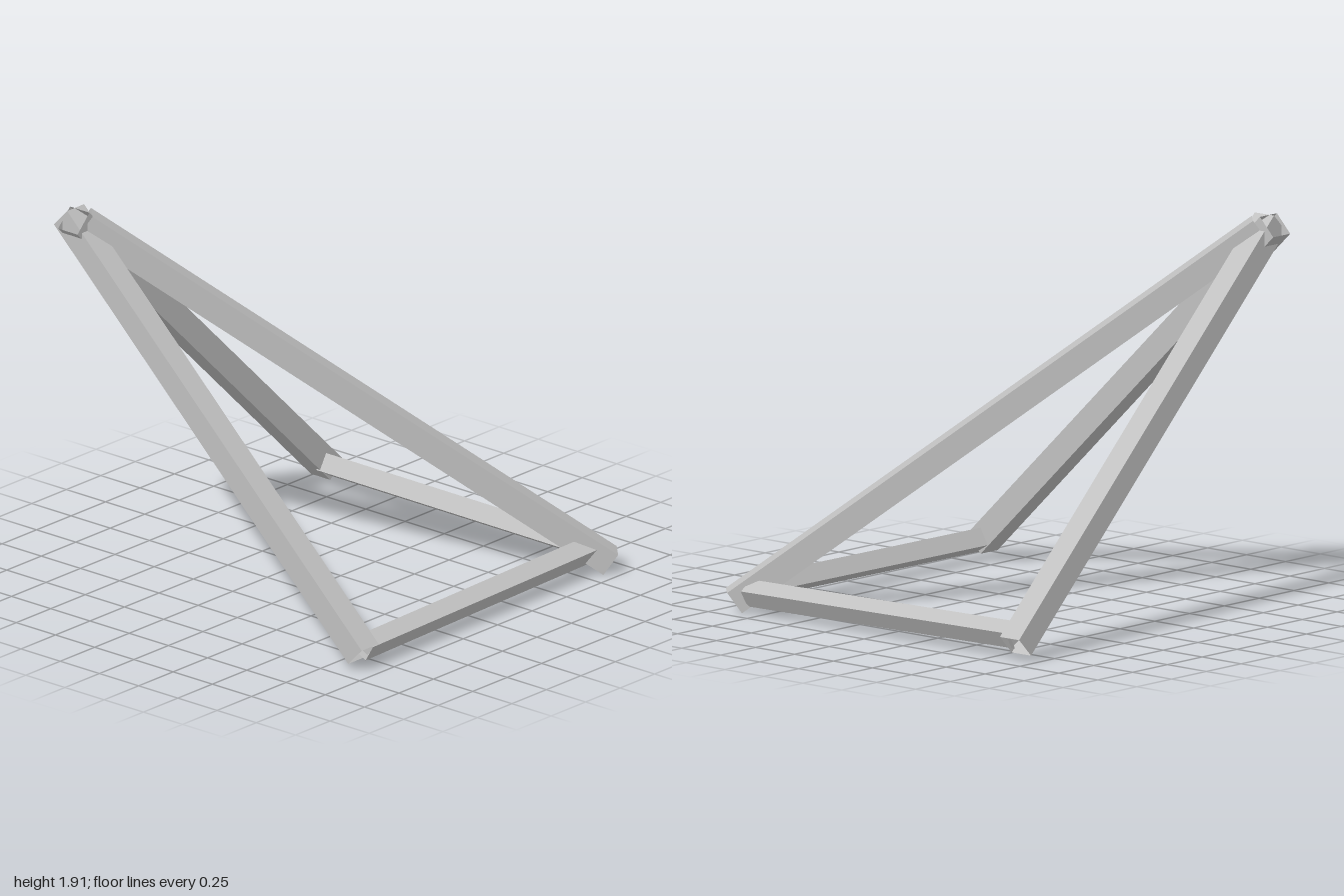
import * as THREE from 'three';

// Open-ended square tube from one point to another; `up` sets the roll of its top face
function squareTube(name, from, to, size, up, material) {
  const a = new THREE.Vector3(...from);
  const b = new THREE.Vector3(...to);
  const axis = b.clone().sub(a);
  const length = axis.length();
  axis.normalize();

  const radius = size / Math.SQRT2;
  const geometry = new THREE.CylinderGeometry(radius, radius, length, 4, 1, true).toNonIndexed();
  geometry.rotateY(Math.PI / 4);
  geometry.computeVertexNormals();

  const side = new THREE.Vector3().crossVectors(axis, new THREE.Vector3(...up)).normalize();
  const top = new THREE.Vector3().crossVectors(side, axis);
  geometry.applyMatrix4(new THREE.Matrix4().makeBasis(side, axis, top));

  const mesh = new THREE.Mesh(geometry, material);
  mesh.name = name;
  mesh.position.copy(a).add(b).multiplyScalar(0.5);
  return mesh;
}

export function createModel() {
  const group = new THREE.Group();
  group.name = 'tripodFrame';

  const grey = new THREE.MeshStandardMaterial({ color: 0xc0c0c0 });
  grey.name = 'light grey';
  grey.side = THREE.DoubleSide;

  // Thick legs run down from the shared apex, thin braces join their feet
  const LEG = 0.123;
  const BRACE = 0.092;
  const tubes = [
    ['rightLeg', [-0.885, 1.865, -0.955], [-0.865, 0.075, 0.905], LEG, [0, 1, 1]],
    ['backLeg', [-0.935, 1.865, -0.88], [0.92, 0.072, -0.9], LEG, [1, 1, 0]],
    ['centreLeg', [-0.87, 1.84, -0.87], [0.905, 0.05, 0.92], LEG, [1, 2, 1]],
    ['frontBrace', [-0.84, 0.095, 0.88], [0.87, 0.112, 0.852], BRACE, [0, 0.85, 0.5]],
    ['sideBrace', [0.883, 0.095, 0.84], [0.862, 0.112, -0.86], BRACE, [0.5, 0.85, 0]],
  ];
  for (const [name, from, to, size, up] of tubes) {
    group.add(squareTube(name, from, to, size, up, grey));
  }
  return group;
}
